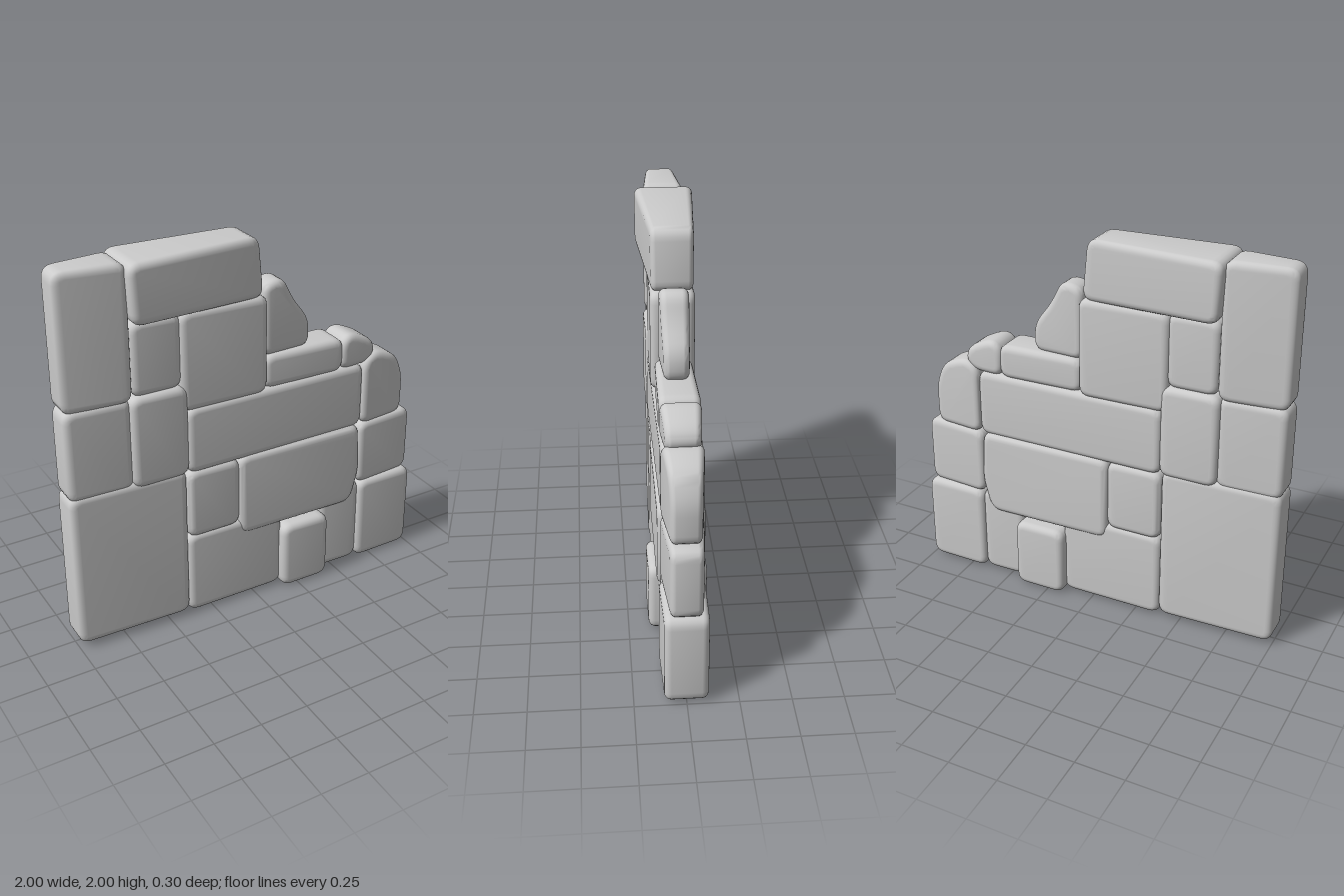
import * as THREE from 'three';
import { toCreasedNormals } from 'three/addons/utils/BufferGeometryUtils.js';

const material = new THREE.MeshStandardMaterial({ color: 0xcccccc });

// Outline with every corner softened by a short curve
function roundedShape(points, radius) {
  const pts = points.map(([x, y]) => new THREE.Vector2(x, y));
  const shape = new THREE.Shape();
  pts.forEach((p, i) => {
    const prev = pts[(i + pts.length - 1) % pts.length];
    const next = pts[(i + 1) % pts.length];
    const a = p.clone().lerp(prev, Math.min(0.45, radius / p.distanceTo(prev)));
    const b = p.clone().lerp(next, Math.min(0.45, radius / p.distanceTo(next)));
    if (i === 0) shape.moveTo(a.x, a.y);
    else shape.lineTo(a.x, a.y);
    shape.quadraticCurveTo(p.x, p.y, b.x, b.y);
  });
  shape.closePath();
  return shape;
}

// Pillow-edged stone; half thickness runs from zLeft (low x) to zRight (high x)
function stone(name, points, zLeft, zRight = zLeft, bevel = 0.035) {
  const half = Math.max(zLeft, zRight);
  const geometry = new THREE.ExtrudeGeometry(roundedShape(points, 0.06), {
    depth: 2 * (half - bevel), curveSegments: 5, bevelEnabled: true,
    bevelThickness: bevel, bevelSize: bevel, bevelOffset: -bevel, bevelSegments: 5,
  });
  geometry.translate(0, 0, bevel - half);
  const xs = points.map((p) => p[0]);
  const x0 = Math.min(...xs), x1 = Math.max(...xs);
  const pos = geometry.attributes.position;
  for (let i = 0; i < pos.count; i++) {
    const t = (pos.getX(i) - x0) / (x1 - x0);
    pos.setZ(i, pos.getZ(i) * THREE.MathUtils.lerp(zLeft, zRight, t) / half);
  }
  const mesh = new THREE.Mesh(toCreasedNormals(geometry, 0.8), material);
  mesh.name = name;
  return mesh;
}

const rect = (x0, y0, x1, y1) => [[x0, y0], [x1, y0], [x1, y1], [x0, y1]];

export function createModel() {
  const wall = new THREE.Group();
  wall.name = 'ruinedStoneWall';

  // Squared stones: name, [x0, y0, x1, y1], half thickness at each end
  const blocks = [
    ['cornerBaseStone', [-1, 0.025, -0.385, 0.875], 0.085, 0.105],
    ['baseStone', [-0.39, 0.01, 0.17, 0.48], 0.1, 0.1],
    ['baseFillerStone', [0.41, 0.01, 0.66, 0.5], 0.095, 0.1],
    ['projectingBaseStone', [0.15, 0, 0.435, 0.38], 0.148, 0.148],
    ['endBaseStone', [0.65, 0.005, 1, 0.49], 0.112, 0.105],
    ['endMiddleStone', [0.64, 0.48, 0.99, 0.85], 0.105, 0.075],
    ['smallMiddleStone', [-0.385, 0.465, -0.085, 0.85], 0.105, 0.105],
    ['longCourseStone', [-0.38, 0.84, 0.655, 1.2], 0.105, 0.1],
    ['edgeMiddleStone', [-1, 0.845, -0.66, 1.325], 0.08, 0.09],
    ['innerMiddleStone', [-0.675, 0.845, -0.37, 1.33], 0.11, 0.11],
    ['edgeUpperStone', [-1, 1.31, -0.655, 2], 0.07, 0.105],
    ['narrowUpperStone', [-0.655, 1.32, -0.39, 1.7], 0.09, 0.09],
    ['squareUpperStone', [-0.405, 1.185, 0.07, 1.7], 0.1, 0.11],
    ['ledgeStone', [0.06, 1.19, 0.525, 1.37], 0.09, 0.1],
  ];
  for (const [name, box, zLeft, zRight] of blocks) wall.add(stone(name, rect(...box), zLeft, zRight));

  // Irregular stones
  wall.add(
    stone('capStone', [[-0.66, 1.7], [0.05, 1.69], [0.02, 2], [-0.675, 2]], 0.152, 0.1),
    stone('largeMiddleStone', [[-0.09, 0.395], [0.6, 0.39], [0.65, 0.57], [0.635, 0.855], [-0.095, 0.855]], 0.11, 0.115),
    stone('leaningShard', [[0.06, 1.36], [0.34, 1.36], [0.34, 1.5], [0.24, 1.63], [0.18, 1.755], [0.06, 1.735]], 0.075, 0.06),
    stone('brokenKnob', [[0.51, 1.19], [0.69, 1.19], [0.74, 1.25], [0.71, 1.32], [0.57, 1.385], [0.51, 1.34]], 0.1, 0.08),
    stone('roundedEndStone', [[0.65, 0.84], [0.935, 0.84], [0.935, 1.06], [0.88, 1.19], [0.73, 1.25], [0.65, 1.2]], 0.105, 0.07),
  );
  return wall;
}
